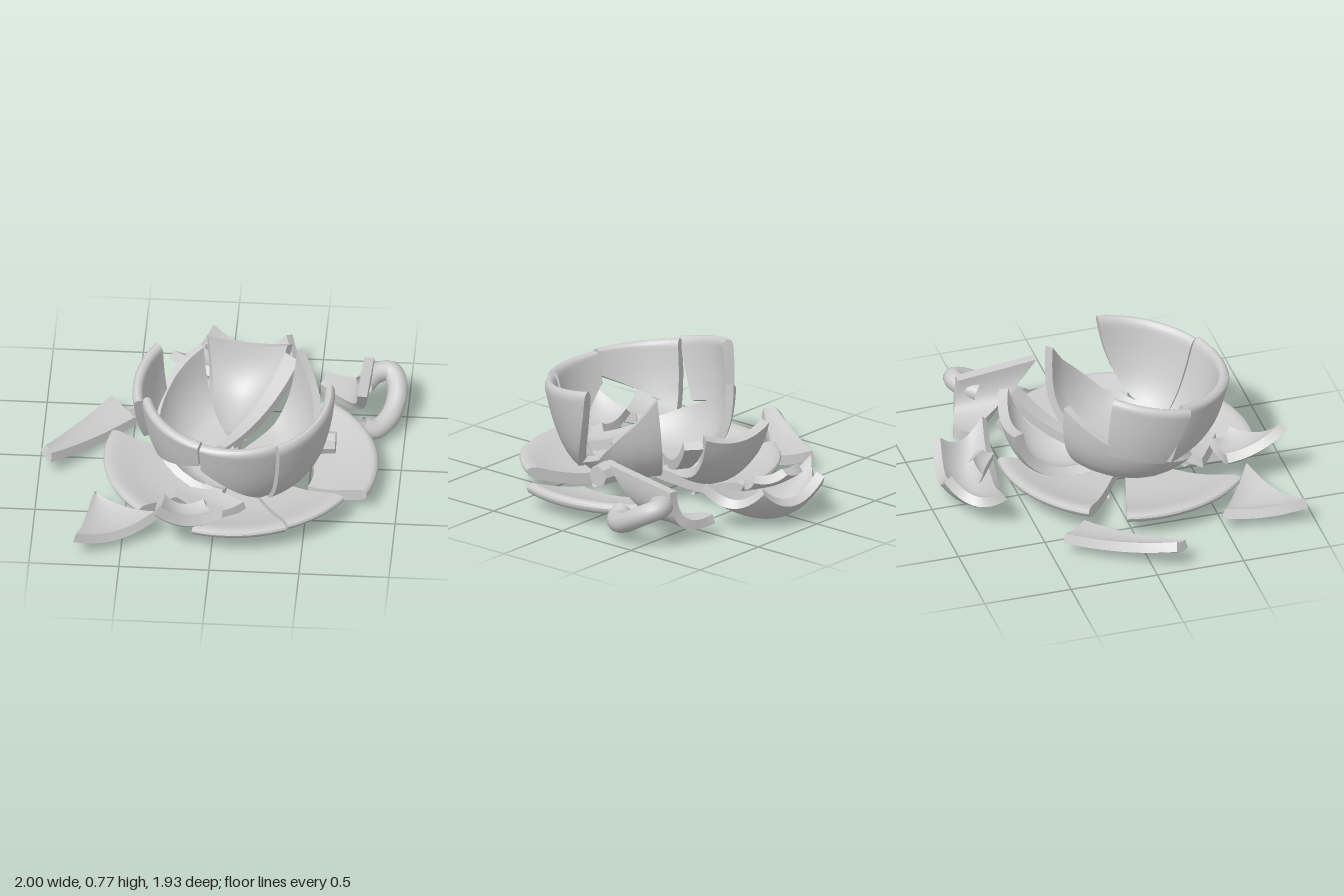
import * as THREE from 'three';

const V = (x, y, z) => new THREE.Vector3(x, y, z);
const material = new THREE.MeshStandardMaterial({ color: 0xcccccc, side: THREE.DoubleSide });

// Closed shard: a surface f(u, v) thickened along its normal; round softens the v = 1 edge
function slab(name, f, thick, round = false) {
  const nu = 17, nv = 17;
  const us = Array.from({ length: nu }, (_, i) => i / (nu - 1));
  // Rows crowd towards a rounded rim
  const vs = us.map(t => (round ? 1 - (1 - t) ** 2 : t));
  const e = 0.01;
  const top = [], bottom = [];
  for (const v of vs) for (const u of us) {
    const a = Math.min(0.98, Math.max(0.02, u)), b = Math.min(0.98, Math.max(0.02, v));
    const n = f(a + e, b).sub(f(a - e, b)).cross(f(a, b + e).sub(f(a, b - e))).normalize();
    const soft = round && v > 0.9 ? Math.max(0.2, Math.sqrt(1 - ((v - 0.9) / 0.1) ** 2)) : 1;
    const p = f(u, v);
    top.push(p.clone().addScaledVector(n, thick / 2 * soft));
    bottom.push(p.clone().addScaledVector(n, -thick / 2 * soft));
  }
  const pos = [], index = [];
  const add = p => pos.push(p.x, p.y, p.z) / 3 - 1;
  const quad = (a, b, c, d) => index.push(a, b, c, a, c, d);
  top.forEach(add);
  bottom.forEach(add);
  const N = top.length;
  for (let j = 0; j < nv - 1; j++) for (let i = 0; i < nu - 1; i++) {
    const a = j * nu + i, b = a + 1, c = b + nu, d = a + nu;
    quad(a, b, c, d);
    quad(N + a, N + d, N + c, N + b);
  }
  // Broken edges, with their own vertices so they stay crisp
  const U = [...us.keys()], W = [...vs.keys()];
  const edges = [
    U, W.map(j => j * nu + nu - 1),
    U.map(i => (nv - 1) * nu + i).reverse(), W.map(j => j * nu).reverse(),
  ];
  for (const edge of edges) {
    const t = edge.map(k => add(top[k])), b = edge.map(k => add(bottom[k]));
    for (let k = 0; k < edge.length - 1; k++) quad(t[k], b[k], b[k + 1], t[k + 1]);
  }
  const g = new THREE.BufferGeometry();
  g.setAttribute('position', new THREE.Float32BufferAttribute(pos, 3));
  g.setIndex(index);
  g.computeVertexNormals();
  const mesh = new THREE.Mesh(g, material);
  mesh.name = name;
  return mesh;
}

// Point on a list of [angle in degrees, distance along profile 0..1], unrolled flat
function along(list, u) {
  const t = u * (list.length - 1), k = Math.min(list.length - 2, Math.floor(t));
  const mix = c => THREE.MathUtils.lerp(list[k][c], list[k + 1][c], t - k);
  const a = THREE.MathUtils.degToRad(mix(0)), s = mix(1);
  return new THREE.Vector2(Math.cos(a) * s, Math.sin(a) * s);
}

// Shard cut from a surface of revolution between two edge lists
function turned(name, profile, inner, outer, thick, round) {
  return slab(name, (u, v) => {
    const q = along(inner, u).lerp(along(outer, u), v);
    const s = q.length(), p = profile.getPointAt(Math.min(1, s));
    const k = s > 1e-5 ? p.x / s : 0;
    return V(q.x * k, p.y, q.y * k);
  }, thick, round);
}

// Loose shard through four corners (or an apex and two corners),
// sagging along its own downward normal across u and across v
function loose(name, sagU, sagV, ...corners) {
  const pts = corners.map(p => V(...p));
  const pointed = pts.length === 3;
  if (pointed) pts.unshift(pts[0]);
  const [A, B, C, D] = pts;
  const down = C.clone().sub(A).cross(D.clone().sub(B)).normalize();
  if (down.y > 0) down.negate();
  return slab(name, (u, v) => A.clone().lerp(B, u).lerp(D.clone().lerp(C, u), v)
    .addScaledVector(down, 4 * sagU * u * (1 - u) * (pointed ? v : 1) + 4 * sagV * v * (1 - v)), 0.055);
}

const curve = pts => new THREE.SplineCurve(pts.map(p => new THREE.Vector2(...p)));

// Saucer, still lying roughly in its circle
function createSaucer() {
  const saucer = new THREE.Group();
  saucer.name = 'saucer';
  saucer.position.set(0.08, 0, 0.14);
  const plate = curve([[0, 0.045], [0.33, 0.045], [0.5, 0.065], [0.64, 0.105], [0.72, 0.135]]);
  const wedge = (name, a, b, s, dx = 0, dy = 0) => {
    const m = turned(name, plate, [[a, s], [b, s]], [[a, 1], [b, 1]], 0.065, true);
    m.position.set(dx, dy, 0);
    saucer.add(m);
  };
  // Arc of the foot ring under a wedge
  const foot = (a, b) => {
    const arc = THREE.MathUtils.degToRad(a - b);
    const m = new THREE.Mesh(new THREE.TorusGeometry(0.33, 0.02, 8, 20, arc), material);
    m.rotation.set(Math.PI / 2, 0, THREE.MathUtils.degToRad(b));
    m.position.y = 0.02;
    m.name = 'saucerFoot';
    saucer.add(m);
  };
  wedge('saucerFront', 105, 62.5, 0.03);
  wedge('saucerFrontRight', 62.5, 30, 0.03, 0.01, 0.015);
  wedge('saucerLeft', 196, 133, 0.03);
  wedge('saucerBackLeft', 275, 213, 0.06, 0, 0.015);
  wedge('saucerRight', 21, -56, 0.5, 0.08, -0.025);
  foot(105, 30);
  foot(196, 133);
  foot(275, 213);
  return saucer;
}

// Cup, leaning to the front
function createCup() {
  const cup = new THREE.Group();
  cup.name = 'cup';
  cup.position.set(0.1, 0.125, 0.11);
  cup.rotation.x = 0.16;
  const wall = curve([[0, 0], [0.25, 0], [0.36, 0.06], [0.44, 0.18], [0.485, 0.35], [0.51, 0.56]]);
  // Piece with a stretch of rim from angle a to b above a broken lower edge
  const rim = (name, a, b, lower, dx = 0, dy = 0, lean = 0) => {
    const m = turned(name, wall, lower, [[a, 1], [b, 1]], 0.06, true);
    m.position.set(dx, dy, 0);
    m.rotation.x = lean;
    cup.add(m);
  };
  // Floor piece from near the centre up to a broken edge
  const floor = (name, a, b, upper) =>
    cup.add(turned(name, wall, [[a, 0.015], [b, 0.015]], upper, 0.045, false));
  rim('cupFront', 109, 62, [[109, 0.8], [62, 0.4]]);
  rim('cupFrontLeft', 165, 110, [[162, 0.56], [110, 0.83]], 0, 0.01);
  rim('cupLeft', 216, 166, [[212, 0.6], [172, 0.6]], -0.04, 0.02, 0.07);
  rim('cupRight', 61, -6, [[61, 0.4], [31, 0.47]], 0.01, -0.02);
  floor('cupRightBack', 64, -52, [[64, 0.41], [30, 0.46], [0, 0.52], [-35, 0.76], [-50, 0.9]]);
  floor('cupFloorLeft', 238, 100, [[243, 0.84], [205, 0.68], [165, 0.58], [100, 0.42]]);
  return cup;
}

// Broken handle: root on the cup's side and the fallen loop with its piece of wall
function createHandle() {
  const group = new THREE.Group();
  group.name = 'brokenHandle';
  const stub = new THREE.Mesh(new THREE.CylinderGeometry(0.06, 0.07, 0.12, 8).toNonIndexed(), material);
  stub.geometry.computeVertexNormals();
  stub.rotation.z = -Math.PI / 2;
  stub.position.set(0.58, 0.2, 0.05);
  stub.name = 'handleStub';
  const path = new THREE.CatmullRomCurve3([
    V(0.76, 0.2, -0.5), V(0.82, 0.22, -0.58), V(0.9, 0.225, -0.605), V(0.945, 0.18, -0.52),
    V(0.92, 0.1, -0.37), V(0.84, 0.075, -0.26), V(0.77, 0.1, -0.24),
  ]);
  const loop = new THREE.Mesh(new THREE.TubeGeometry(path, 40, 0.057, 14), material);
  loop.name = 'handleLoop';
  const shard = loose('handleShard', 0, 0.11,
    [0.51, 0.08, -0.62], [0.54, 0.1, -0.71], [0.78, 0.3, -0.62], [0.77, 0.36, -0.17]);
  group.add(stub, loop, shard);
  return group;
}

export function createModel() {
  const model = new THREE.Group();
  model.name = 'brokenCupAndSaucer';
  model.add(createSaucer(), createCup(), createHandle());

  // Scattered saucer shards
  model.add(loose('leftShard', 0.01, 0.025,
    [-0.98, 0.14, 0.12], [-0.93, 0.12, 0.19], [-0.49, 0.06, -0.27], [-0.64, 0.09, -0.43]));
  model.add(loose('frontLeftShard', 0.06, 0.03,
    [-0.67, 0.1, 0.48], [-0.75, 0.13, 0.94], [-0.31, 0.15, 0.72]));
  model.add(loose('frontShard', 0.03, 0.05,
    [-0.29, 0.35, 0.95], [-0.29, 0.2, 0.62], [-0.05, 0.17, 0.6], [0.03, 0.18, 0.74]));
  model.add(loose('innerFrontShard', 0.01, 0.01,
    [-0.22, 0.15, 0.5], [-0.05, 0.14, 0.42], [0.17, 0.13, 0.57], [0.05, 0.12, 0.66]));

  // Cup wall shards fallen to the back
  model.add(loose('backWallShard', 0.06, 0.13,
    [-0.11, 0.46, -0.53], [0.35, 0.47, -0.48], [0.12, 0.16, -0.02], [-0.09, 0.16, -0.12]));
  model.add(loose('backSplinter', 0, 0.08,
    [0.34, 0.42, -0.46], [0.42, 0.42, -0.39], [0.03, 0.15, 0.11], [-0.02, 0.15, 0.09]));
  model.add(loose('backBowlShard', 0.09, 0.11,
    [-0.32, 0.22, -0.68], [-0.1, 0.24, -0.94], [0.32, 0.24, -0.88], [0.45, 0.23, -0.56]));
  model.add(loose('smallBackShard', 0.01, 0.02,
    [-0.14, 0.23, -0.76], [0.02, 0.25, -0.78], [0.16, 0.22, -0.68], [0.15, 0.17, -0.6]));
  return model;
}
